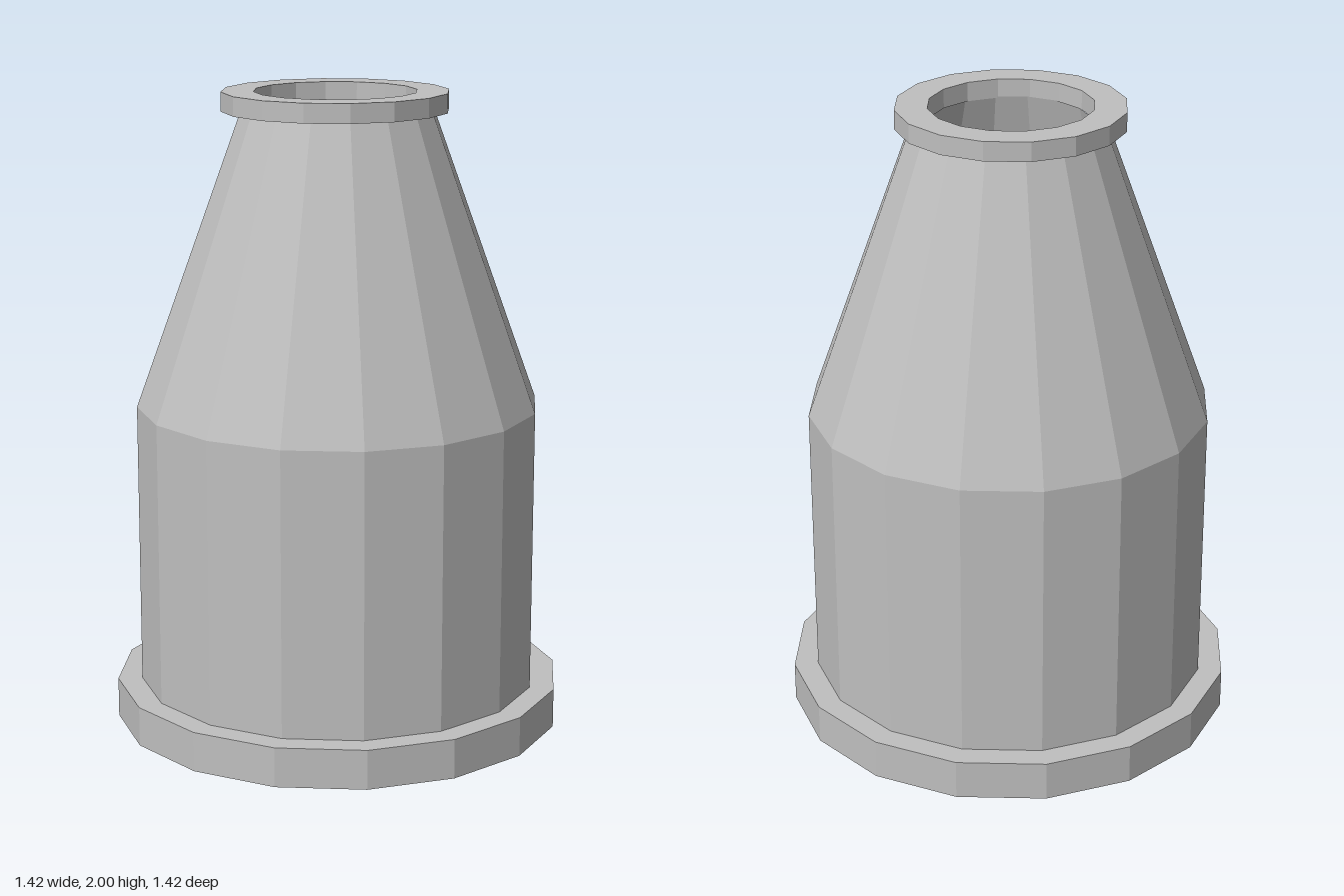
import * as THREE from 'three';

const SIDES = 16;

export function createModel() {
  const group = new THREE.Group();
  group.name = 'taperedNozzle';
  const grey = new THREE.MeshStandardMaterial({ color: 0xbfbfbf, flatShading: true });
  grey.name = 'plain grey';

  // Turn a [radius, height] profile into a faceted ring
  function turned(name, profile) {
    const points = profile.map(([r, y]) => new THREE.Vector2(r, y));
    const mesh = new THREE.Mesh(new THREE.LatheGeometry(points, SIDES), grey);
    mesh.name = name;
    group.add(mesh);
    return mesh;
  }

  // Wide foot ring
  turned('baseFlange', [[0.505, 0], [0.71, 0], [0.71, 0.125], [0.63, 0.125]]);

  // Straight barrel running into the cone
  turned('outerShell', [[0.633, 0.125], [0.633, 1.02], [0.3, 1.94]]);

  // Hollow inside, listed downwards so that it faces the axis
  turned('innerBore', [[0.253, 1.945], [0.505, 1.02], [0.505, 0]]);

  // Collar around the upper mouth, set very slightly off centre
  const rim = turned('topRim', [[0.28, 1.94], [0.353, 1.94], [0.353, 2], [0.253, 2], [0.253, 1.94]]);
  rim.position.set(-0.005, 0, -0.005);

  return group;
}
